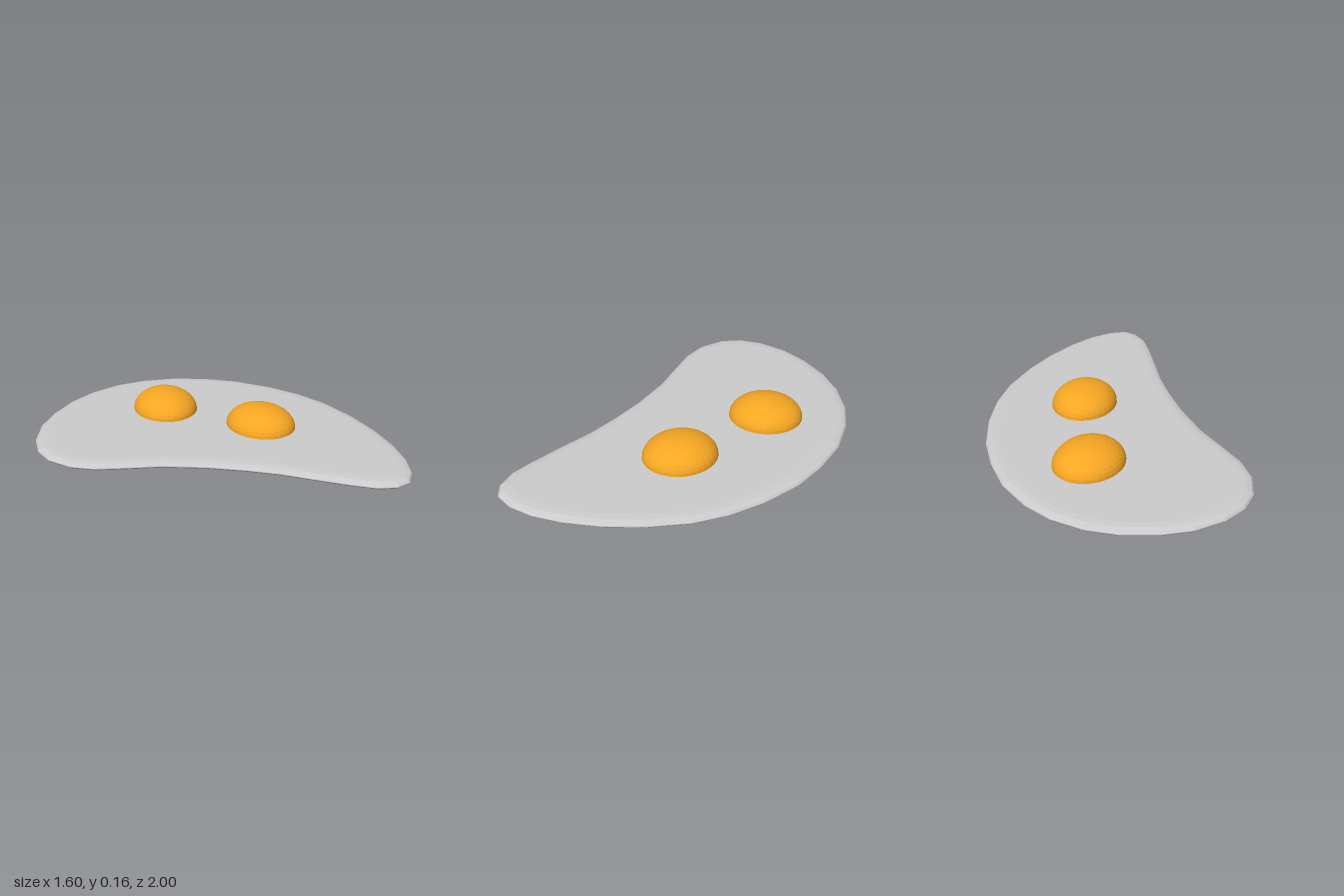
import * as THREE from 'three';

// Outline of the white as [x, z], clockwise seen from above
const OUTLINE = [
  [-0.12, -1.0], [0.06, -0.98], [0.22, -0.92], [0.39, -0.81], [0.53, -0.66], [0.64, -0.5],
  [0.73, -0.29], [0.78, -0.09], [0.795, 0.1], [0.77, 0.33], [0.72, 0.53], [0.65, 0.71],
  [0.57, 0.85], [0.48, 0.95], [0.39, 1.0], [0.31, 0.985], [0.23, 0.92], [0.16, 0.81],
  [0.06, 0.63], [-0.02, 0.48], [-0.12, 0.33], [-0.25, 0.16], [-0.41, -0.01], [-0.56, -0.13],
  [-0.68, -0.23], [-0.76, -0.34], [-0.8, -0.48], [-0.785, -0.6], [-0.72, -0.72],
  [-0.6, -0.84], [-0.46, -0.92], [-0.29, -0.98],
];
const THICKNESS = 0.045;

// Flat slab with a softly rounded rim
function makeWhite() {
  const shape = new THREE.Shape(OUTLINE.map(([x, z]) => new THREE.Vector2(x, -z)));
  const bevel = 0.02;
  const geometry = new THREE.ExtrudeGeometry(shape, {
    depth: THICKNESS - 2 * bevel,
    bevelThickness: bevel,
    bevelSize: 0.065,
    bevelOffset: -0.065,
    bevelSegments: 3,
  });
  geometry.rotateX(-Math.PI / 2).translate(0, bevel, 0);
  const white = new THREE.Mesh(geometry,
    new THREE.MeshStandardMaterial({ color: 0xcccccc, flatShading: true }));
  white.name = 'eggWhite';
  return white;
}

// Half ellipsoid resting on the white
function makeYolk(name, x, z, radiusX, radiusZ, turn, material) {
  const yolk = new THREE.Group();
  yolk.name = name;
  const dome = new THREE.Mesh(
    new THREE.SphereGeometry(1, 32, 10, 0, Math.PI * 2, 0, Math.PI / 2), material);
  dome.name = name + 'Dome';
  dome.scale.set(radiusX, 0.117, radiusZ);
  yolk.add(dome);
  yolk.position.set(x, THICKNESS, z);
  yolk.rotation.y = turn;
  return yolk;
}

export function createModel() {
  const egg = new THREE.Group();
  egg.name = 'friedEgg';
  const yolkMaterial = new THREE.MeshStandardMaterial({ color: 0xf5a623, flatShading: true });
  egg.add(
    makeWhite(),
    makeYolk('backYolk', 0.05, -0.505, 0.182, 0.204, -0.3, yolkMaterial),
    makeYolk('frontYolk', 0.293, 0.042, 0.181, 0.205, 0.1, yolkMaterial),
  );
  return egg;
}
